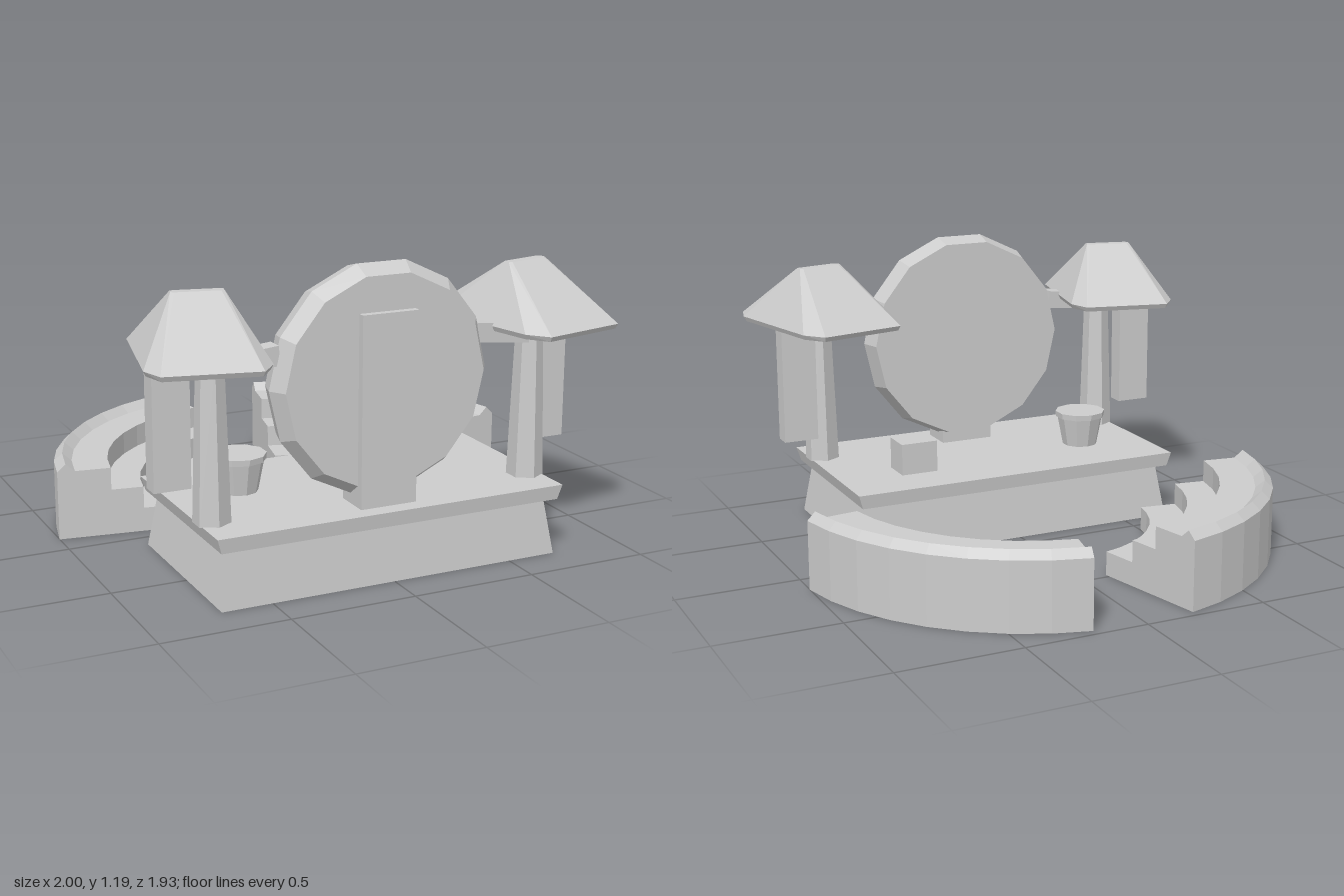
import * as THREE from 'three';
import { ConvexGeometry } from 'three/addons/geometries/ConvexGeometry.js';

const rad = THREE.MathUtils.degToRad;
const v2 = (pairs) => pairs.map(([x, y]) => new THREE.Vector2(x, y));

export function createModel() {
  const stone = new THREE.MeshStandardMaterial({ color: 0xcccccc, flatShading: true, side: THREE.DoubleSide });
  stone.name = 'pale stone';
  const model = new THREE.Group();
  model.name = 'stageWithSeating';

  const add = (parent, name, geometry, x = 0, y = 0, z = 0) => {
    const mesh = new THREE.Mesh(geometry, stone);
    mesh.name = name;
    mesh.position.set(x, y, z);
    parent.add(mesh);
    return mesh;
  };

  // Box whose top has its own width and depth; it can be left open above and below
  const frustum = (w0, d0, w1, d1, h, open = false) => {
    const g = new THREE.BoxGeometry(1, h, 1);
    const p = g.attributes.position;
    for (let i = 0; i < p.count; i++) {
      const top = p.getY(i) > 0;
      p.setX(i, p.getX(i) * (top ? w1 : w0));
      p.setZ(i, p.getZ(i) * (top ? d1 : d0));
    }
    if (open) {
      const index = Array.from(g.index.array);
      index.splice(12, 12);
      g.setIndex(index);
      g.clearGroups();
    }
    g.computeVertexNormals();
    return g;
  };

  // Stage: hollow base and overhanging floor
  add(model, 'stageBase', frustum(1.4, 0.76, 1.32, 0.715, 0.225, true), 0, 0.1125, 0.46);
  add(model, 'stageFloor', frustum(1.405, 0.775, 1.44, 0.79, 0.058), 0, 0.254, 0.463);

  // Large upright disc with bevelled rim and the tablet through it
  const discProfile = v2([[0, 0.615], [0.427, 0.615], [0.45, 0.7], [0.41, 0.76], [0, 0.76]]);
  const disc = add(model, 'disc', new THREE.LatheGeometry(discProfile, 14, Math.PI / 14), 0, 0.754, 0);
  disc.rotation.x = Math.PI / 2;
  add(model, 'tablet', new THREE.BoxGeometry(0.23, 0.74, 0.15), -0.003, 0.65, 0.715);

  // Props on the stage
  add(model, 'crate', new THREE.BoxGeometry(0.157, 0.133, 0.13), 0.379, 0.348, 0.325);
  add(model, 'drumBody', new THREE.CylinderGeometry(0.1, 0.075, 0.13, 10), -0.436, 0.346, 0.383);
  add(model, 'drumRim', new THREE.CylinderGeometry(0.109, 0.107, 0.024, 10), -0.436, 0.42, 0.383);

  // Eight-sided ring for the tower roofs
  const ring = (y, a, b, c, d) => {
    const points = [];
    for (const sx of [-1, 1]) for (const sz of [-1, 1]) {
      points.push(new THREE.Vector3(sx * a, y, sz * d), new THREE.Vector3(sx * b, y, sz * c));
    }
    return points;
  };
  const roofGeometry = new ConvexGeometry([
    ...ring(0.885, 0.175, 0.218, 0.232, 0.32),
    ...ring(0.905, 0.18, 0.227, 0.24, 0.33),
    ...ring(1.127, 0.085, 0.097, 0.012, 0.02),
  ]);

  // Two mirrored towers: post, roof, hanging panel and beam to the disc
  for (const side of [1, -1]) {
    const tower = new THREE.Group();
    tower.name = side > 0 ? 'leftTower' : 'rightTower';
    add(tower, 'post', new THREE.CylinderGeometry(0.052, 0.072, 0.62, 6), side * 0.665, 0.59, 0.67);
    const roof = add(tower, 'roof', roofGeometry, side * 0.68, 0, 0.597);
    roof.rotation.y = side * rad(12.7);
    add(tower, 'hangingPanel', new THREE.BoxGeometry(0.145, 0.5, 0.075), side * 0.795, 0.652, 0.583);
    const beam = add(tower, 'beam', new THREE.BoxGeometry(0.26, 0.075, 0.07), side * 0.54, 0.872, 0.675);
    beam.rotation.z = side * -0.1;
    model.add(tower);
  }

  // Two curved stepped seating blocks, hollow below
  const steps = v2([
    [1.011, 0], [1.011, 0.28], [0.977, 0.312], [0.94, 0.28], [0.796, 0.28],
    [0.796, 0.188], [0.665, 0.188], [0.665, 0.098], [0.511, 0.098], [0.511, 0],
  ]);
  const endCap = new THREE.ShapeGeometry(new THREE.Shape(steps));
  for (const [name, start] of [['leftSeating', 98], ['rightSeating', 192]]) {
    const seating = new THREE.Group();
    seating.name = name;
    seating.position.z = 0.02;
    add(seating, 'steps', new THREE.LatheGeometry(steps, 8, rad(start), rad(70)));
    for (const angle of [start, start + 70]) {
      add(seating, 'endWall', endCap).rotation.y = rad(angle - 90);
    }
    model.add(seating);
  }

  return model;
}
